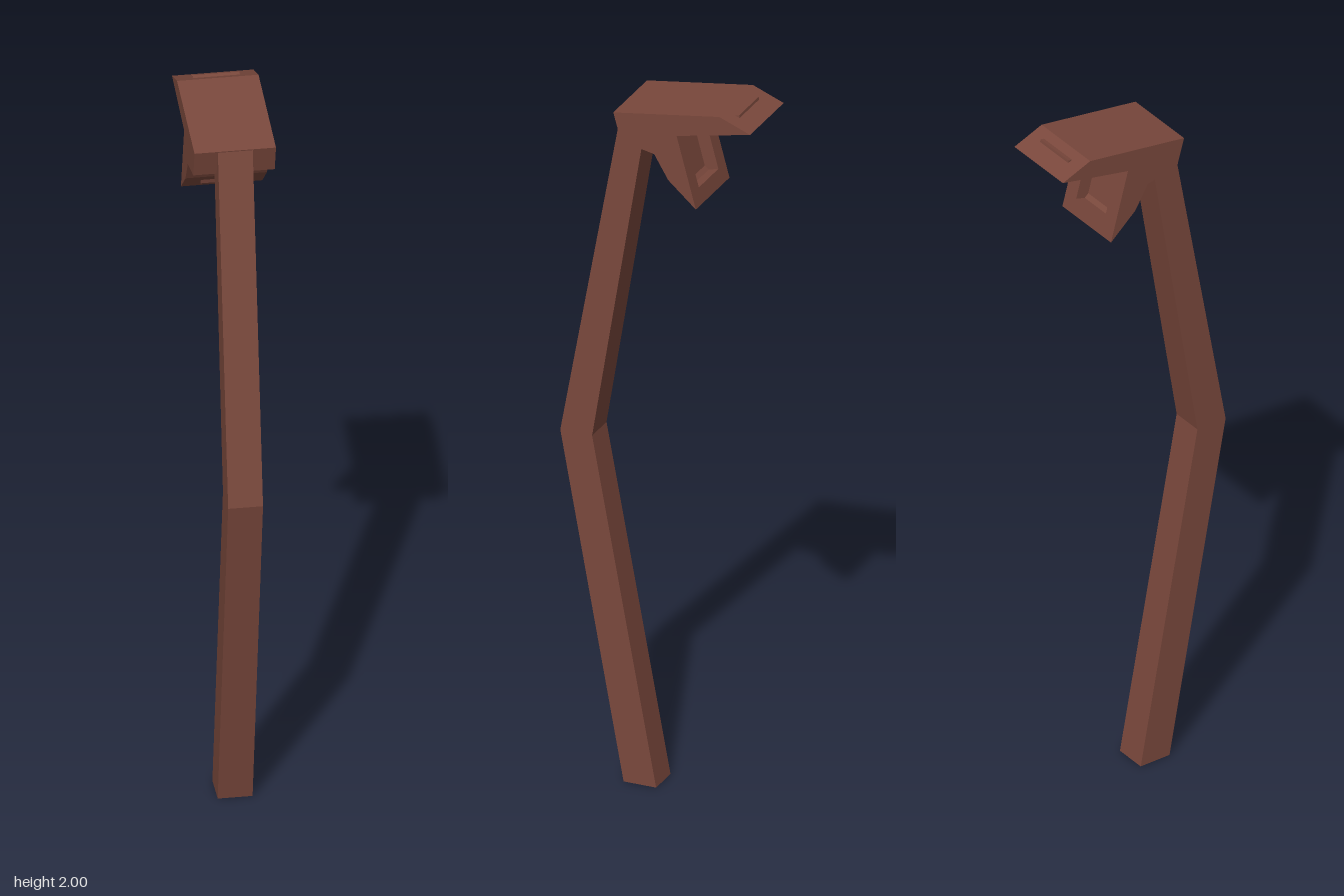
import * as THREE from 'three';

const V3 = (x, [z, y]) => new THREE.Vector3(x, y, z);

// Head: a side profile swept across its width, with pockets sunk into the chosen edges
function sweptHead(profile, halfWidth, pocketEdges, inset, depth) {
  const pos = [];
  const tri = (...pts) => pts.forEach((p) => pos.push(p.x, p.y, p.z));
  const quad = (a, b, c, d) => { tri(a, b, c); tri(a, c, d); };
  const ring = (p, q) => p.forEach((_, i) => quad(p[i], p[(i + 1) % 4], q[(i + 1) % 4], q[i]));

  // Side caps
  const contour = profile.map(([z, y]) => new THREE.Vector2(z, y));
  for (const [a, b, c] of THREE.ShapeUtils.triangulateShape(contour, [])) {
    tri(V3(-halfWidth, profile[a]), V3(-halfWidth, profile[b]), V3(-halfWidth, profile[c]));
    tri(V3(halfWidth, profile[a]), V3(halfWidth, profile[c]), V3(halfWidth, profile[b]));
  }

  // One panel per profile edge
  profile.forEach((a, i) => {
    const b = profile[(i + 1) % profile.length];
    const outer = [V3(-halfWidth, b), V3(-halfWidth, a), V3(halfWidth, a), V3(halfWidth, b)];
    if (!pocketEdges.includes(i)) return quad(...outer);
    const inward = outer[2].clone().sub(outer[1])
      .cross(outer[1].clone().sub(outer[0])).setLength(depth);
    const rim = outer.map((p, k) => p.clone()
      .lerp(outer[k ^ 1], inset)
      .add(outer[3 - k].clone().sub(p).multiplyScalar(inset)));
    const floor = rim.map((p) => p.clone().add(inward));
    ring(outer, rim);
    ring(rim, floor);
    quad(...floor);
  });

  const geo = new THREE.BufferGeometry();
  geo.setAttribute('position', new THREE.Float32BufferAttribute(pos, 3));
  geo.computeVertexNormals();
  return geo;
}

export function createModel() {
  const model = new THREE.Group();
  model.name = 'bentPoleTool';
  const material = new THREE.MeshStandardMaterial({
    color: 0x7a483c, flatShading: true, side: THREE.DoubleSide,
  });

  // Bent square handle, drawn from the side as (z, y)
  const handleShape = new THREE.Shape([
    [0.012, 0], [0.105, 0], [0.286, 0.98], [0.108, 1.953], [0.043, 1.9], [0.195, 0.98],
  ].map(([z, y]) => new THREE.Vector2(z, y)));
  const handleGeo = new THREE.ExtrudeGeometry(handleShape, { depth: 0.092, bevelEnabled: false });
  handleGeo.translate(0, 0, -0.046).rotateY(-Math.PI / 2);
  const handle = new THREE.Mesh(handleGeo, material);
  handle.name = 'handle';

  // Forked head with an upper and a lower jaw, each with a rectangular pocket
  const headProfile = [
    [0.107, 1.955], [-0.196, 2.0], [-0.284, 1.965], // top and upper tip
    [-0.074, 1.922], [-0.129, 1.72], // crotch and lower tip
    [-0.05, 1.79], [-0.01, 1.857], [0.085, 1.877], // underside
  ];
  const head = new THREE.Mesh(sweptHead(headProfile, 0.1075, [2, 3], 0.21, 0.037), material);
  head.name = 'forkedHead';

  // The whole tool is turned slightly about the vertical
  const tool = new THREE.Group();
  tool.name = 'tool';
  tool.add(handle, head);
  tool.rotation.y = 0.028;
  model.add(tool);
  return model;
}
